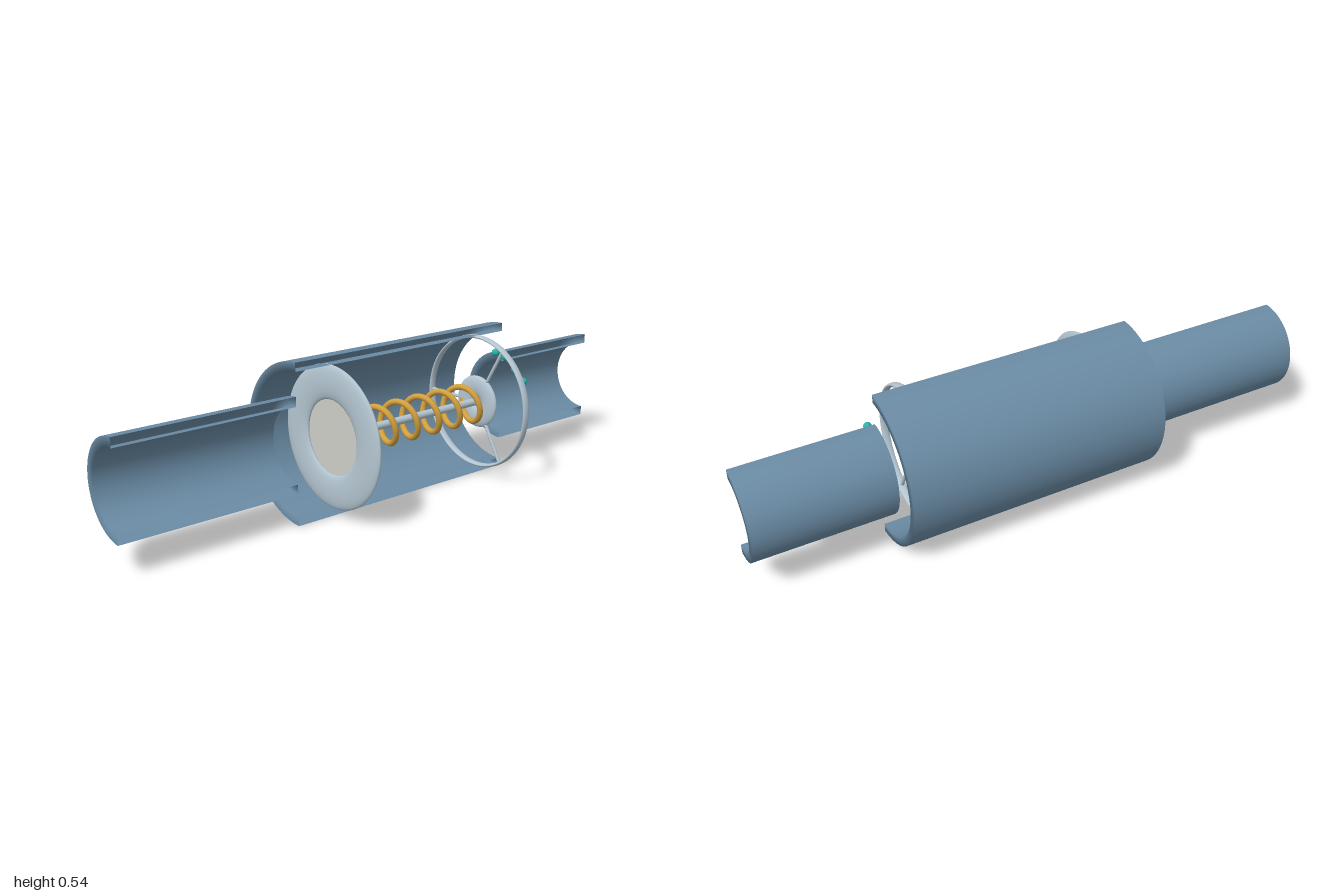
import * as THREE from 'three';

const paint = (name, color, side = THREE.FrontSide) => {
  const m = new THREE.MeshStandardMaterial({ color, side });
  m.name = name;
  return m;
};

export function createModel() {
  const blue = paint('steel blue', 0x6a8ba4, THREE.DoubleSide);
  const silver = paint('pale steel', 0xb4c6d1);
  const ivory = paint('warm grey', 0xcfcfc8);
  const gold = paint('brass', 0xd2a040, THREE.DoubleSide);
  const teal = paint('teal', 0x25b5a8);

  const model = new THREE.Group();
  model.name = 'checkValve';
  model.position.set(0, 0.268, 0.0143); // the flow axis runs along x
  const add = (name, geometry, material) => {
    const mesh = new THREE.Mesh(geometry, material);
    mesh.name = name;
    model.add(mesh);
    return mesh;
  };

  // Half shells, cut open towards the front
  const shell = (name, x0, x1, outer, inner) => {
    const profile = [[outer, x0], [outer, x1], [inner, x1], [inner, x0], [outer, x0]]
      .map(([r, x]) => new THREE.Vector2(r, x));
    const g = new THREE.LatheGeometry(profile, 64, Math.PI / 2, Math.PI);
    add(name, g.rotateZ(-Math.PI / 2), blue);
  };
  shell('inletPipe', -1, -0.375, 0.16, 0.1275);
  shell('housing', -0.375, 0.535, 0.268, 0.239);
  shell('outletPipe', 0.535, 1, 0.16, 0.1275);

  // Rings around the axis with an oval section
  const ring = (name, x, outer, inner, width) => {
    const tube = (outer - inner) / 2;
    const g = new THREE.TorusGeometry((outer + inner) / 2, tube, 24, 80);
    g.scale(1, 1, width / (2 * tube)).rotateY(Math.PI / 2).translate(x, 0, 0);
    add(name, g, silver);
  };
  ring('seat', -0.236, 0.24, 0.125, 0.026);
  ring('retainerRing', 0.418, 0.24, 0.228, 0.027);
  ring('retainerHub', 0.418, 0.0936, 0.02, 0.027);

  // Three retainer spokes
  for (let i = 0; i < 3; i++) {
    const g = new THREE.CylinderGeometry(0.006, 0.006, 0.145, 16);
    g.translate(0, 0.159, 0).rotateX(-Math.PI / 2 + i * Math.PI * 2 / 3);
    add('spoke', g.translate(0.418, 0, 0), silver);
  }

  // Closing disc with rounded rims
  const discProfile = [
    [0, -0.02], [0.146, -0.02], [0.146, -0.02], [0.152, -0.017], [0.154, -0.012],
    [0.154, 0.012], [0.152, 0.017], [0.146, 0.02], [0.146, 0.02], [0, 0.02],
  ].map(([r, x]) => new THREE.Vector2(r, x));
  // the doubled points keep the faces flat
  const disc = new THREE.LatheGeometry(discProfile, 64).rotateZ(-Math.PI / 2);
  add('disc', disc.translate(-0.206, 0, 0), ivory);

  // Guide rod
  const rod = new THREE.CylinderGeometry(0.0135, 0.0135, 0.62, 24).rotateZ(-Math.PI / 2);
  add('rod', rod.translate(0.115, 0, 0), silver);

  // Coil spring
  const turns = 6;
  const points = [];
  for (let i = 0; i <= turns * 16; i++) {
    const a = i / 16 * Math.PI * 2;
    points.push(new THREE.Vector3(-0.172 + i / 16 * 0.0975, 0.066 * Math.sin(a), -0.066 * Math.cos(a)));
  }
  const coil = new THREE.CatmullRomCurve3(points);
  add('spring', new THREE.TubeGeometry(coil, 300, 0.0105, 12), gold);

  // Flow beads leaving the valve
  for (const [x, y, z] of [
    [0.425, 0.191, 0.077], [0.479, 0.166, 0.073], [0.535, 0.111, 0.068], [0.588, 0.056, 0.063],
  ]) {
    add('flowBead', new THREE.SphereGeometry(0.0135, 24, 16), teal).position.set(x, y, z);
  }

  const root = new THREE.Group();
  root.name = 'valve';
  root.add(model);
  return root;
}
